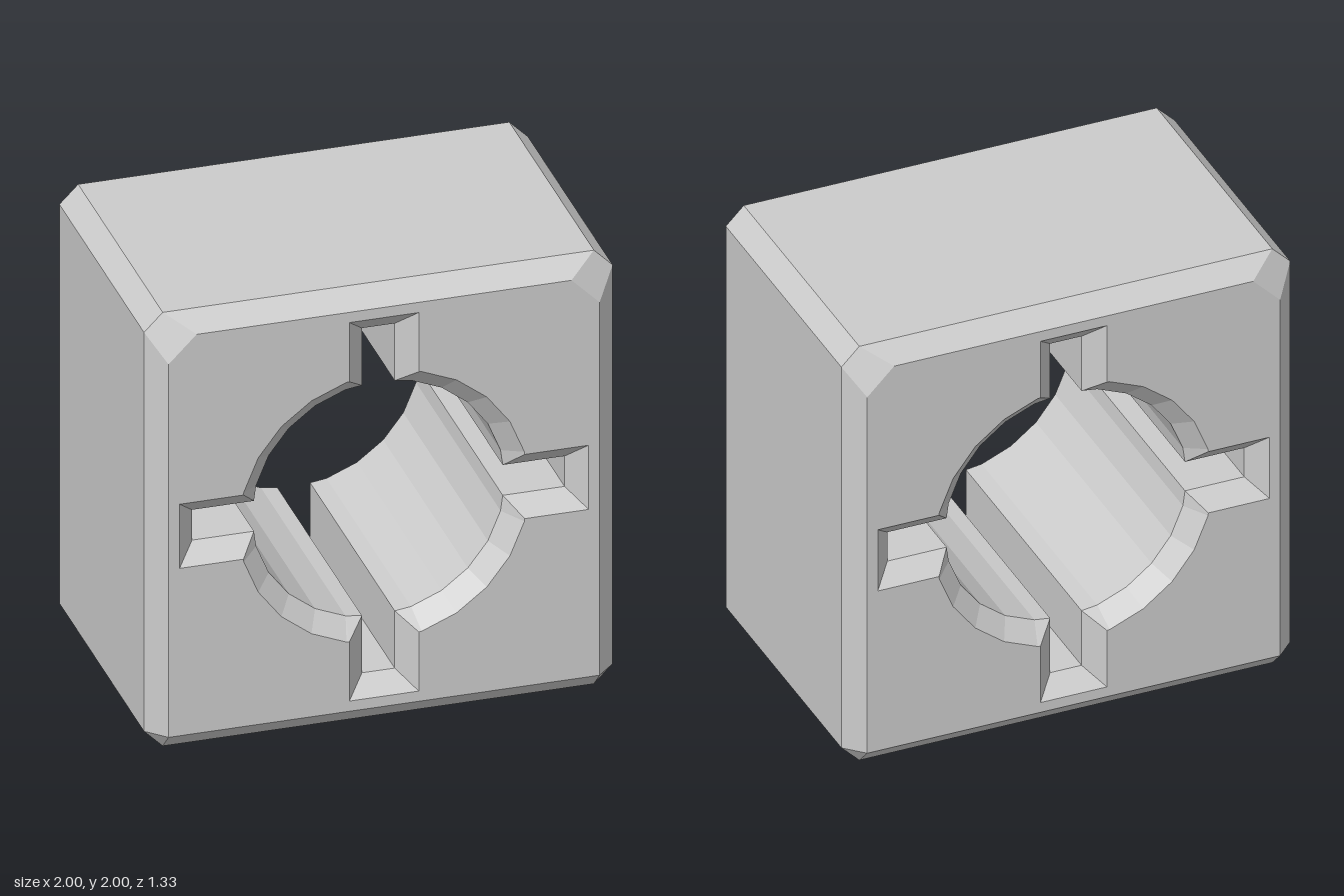
import * as THREE from 'three';

const HALF_DEPTH = 0.665, BEVEL = 0.08;

// Square outline (counter-clockwise, centred) with cut corners; bottom and top cuts differ
function squareLoop(h, bottomCut, topCut) {
  const b = bottomCut, t = topCut;
  return [[h, -h + b], [h, h - t], [h - t, h], [-h + t, h],
    [-h, h - t], [-h, -h + b], [-h + b, -h], [h - b, -h]];
}

// Round bore crossed by four slots (counter-clockwise, centred)
function boreLoop(radius, slotHalf, slotEnd, slotRoot) {
  const loop = [];
  for (let q = 0; q < 4; q++) {
    const quarter = [[slotEnd, -slotHalf], [slotEnd, slotHalf], [slotRoot, slotHalf]];
    for (let k = 1; k <= 5; k++) {
      const a = k * Math.PI / 12;
      quarter.push([radius * Math.cos(a), radius * Math.sin(a)]);
    }
    quarter.push([slotHalf, slotRoot]);
    const c = [1, 0, -1, 0][q], s = [0, 1, 0, -1][q];
    for (const [x, y] of quarter) loop.push([c * x - s * y, s * x + c * y]);
  }
  return loop;
}

// Faceted walls joining successive rings { loop, z }
function loft(rings) {
  const pos = [];
  const same = (p, q) => p.every((v, i) => Math.abs(v - q[i]) < 1e-6);
  const tri = (a, b, c) => {
    if (!same(a, b) && !same(b, c) && !same(a, c)) pos.push(...a, ...b, ...c);
  };
  for (let r = 0; r + 1 < rings.length; r++) {
    const A = rings[r], B = rings[r + 1], n = A.loop.length;
    for (let i = 0; i < n; i++) {
      const j = (i + 1) % n;
      const a0 = [...A.loop[i], A.z], a1 = [...A.loop[j], A.z];
      const b0 = [...B.loop[i], B.z], b1 = [...B.loop[j], B.z];
      tri(a0, b0, b1);
      tri(a0, b1, a1);
    }
  }
  const geo = new THREE.BufferGeometry();
  geo.setAttribute('position', new THREE.Float32BufferAttribute(pos, 3));
  geo.computeVertexNormals();
  return geo;
}

export function createModel() {
  const group = new THREE.Group();
  group.name = 'slottedBlock';
  const material = new THREE.MeshStandardMaterial({ color: 0xcccccc, flatShading: true });
  const add = (name, geo) => {
    const mesh = new THREE.Mesh(geo, material);
    mesh.name = name;
    mesh.position.y = 1;
    group.add(mesh);
    return mesh;
  };

  const zFace = HALF_DEPTH, zWall = HALF_DEPTH - BEVEL;
  const body = squareLoop(1, BEVEL, BEVEL);
  const face = squareLoop(1 - BEVEL, 0, 0.12); // larger facets at the top corners
  const bore = boreLoop(0.54, 0.07, 0.795, 0.531);
  const mouth = boreLoop(0.62, 0.148, 0.873, 0.6);

  // Outer walls with chamfered edges
  add('outerShell', loft([
    { loop: face, z: zFace }, { loop: body, z: zWall },
    { loop: body, z: -zWall }, { loop: face, z: -zFace },
  ]));

  // Through bore with bevelled mouths
  add('slottedBore', loft([
    { loop: mouth, z: -zFace }, { loop: bore, z: -zWall },
    { loop: bore, z: zWall }, { loop: mouth, z: zFace },
  ]));

  // Front and back faces around the bore
  const toPoints = (loop) => loop.map(([x, y]) => new THREE.Vector2(x, y));
  const outline = toPoints(face).filter((p, i, all) => !p.equals(all[(i + 1) % all.length]));
  const shape = new THREE.Shape(outline);
  shape.holes.push(new THREE.Path(toPoints(mouth)));
  const faceGeo = new THREE.ShapeGeometry(shape);
  add('frontFace', faceGeo).position.z = zFace;
  const back = add('backFace', faceGeo);
  back.position.z = -zFace;
  back.rotation.y = Math.PI;

  return group;
}
